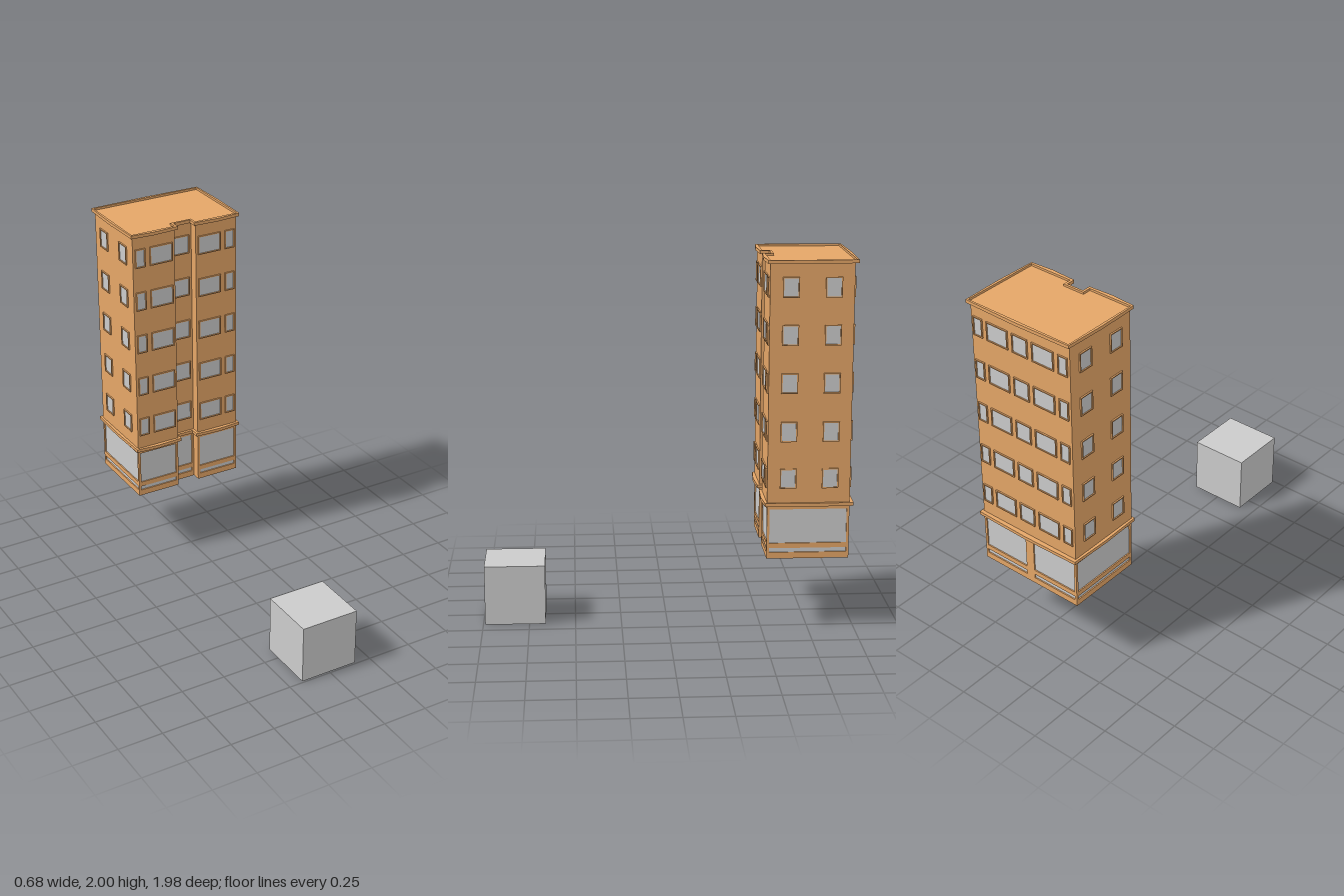
import * as THREE from 'three';

const brick = new THREE.MeshStandardMaterial({ color: 0xe5a667, flatShading: true, side: THREE.DoubleSide });
const grey = new THREE.MeshStandardMaterial({ color: 0xcccccc, flatShading: true, side: THREE.DoubleSide });

// Plan of the walls as [x, z], with the recess in the front
const PLAN = [[-0.32, -0.96], [0.32, -0.96], [0.32, -0.52], [0.065, -0.52],
  [0.065, -0.57], [-0.065, -0.57], [-0.065, -0.52], [-0.32, -0.52]];
// Plan of the cornices: overhanging, with slightly bowed sides
const CORNICE = [[-0.332, -0.98], [0, -0.987], [0.332, -0.98], [0.338, -0.74], [0.332, -0.508], [0.2, -0.498],
  [0.05, -0.506], [0.05, -0.555], [-0.05, -0.555], [-0.05, -0.506], [-0.2, -0.498], [-0.332, -0.508], [-0.338, -0.74]];
const RIM = [[-0.323, -0.97], [0.323, -0.97], [0.323, -0.52], [0.064, -0.52],
  [0.064, -0.568], [-0.064, -0.568], [-0.064, -0.52], [-0.323, -0.52]];

const FLOORS = [0.793, 1.046, 1.305, 1.56, 1.81];
const WINDOW_H = 0.095;
const WALL = 0.014;

function mesh(name, geometry, material, parent) {
  const m = new THREE.Mesh(geometry, material);
  m.name = name;
  parent.add(m);
  return m;
}

const toPoints = (plan) => plan.map(([x, z]) => new THREE.Vector2(x, -z));

// Prism standing on a plan between two heights, optionally hollow
function prism(plan, y0, y1, inner) {
  const shape = new THREE.Shape(toPoints(plan));
  if (inner) shape.holes.push(new THREE.Path(toPoints(inner)));
  return new THREE.ExtrudeGeometry(shape, { depth: y1 - y0, bevelEnabled: false })
    .rotateX(-Math.PI / 2).translate(0, y0, 0);
}

const rect = (Type, u0, u1, v0, v1) => new Type([[u0, v0], [u1, v0], [u1, v1], [u0, v1]]
  .map(([u, v]) => new THREE.Vector2(u, v)));

// Upright plate facing +z with rectangular openings
function plate(u0, u1, v0, v1, openings, depth) {
  const shape = rect(THREE.Shape, u0, u1, v0, v1);
  for (const o of openings) shape.holes.push(rect(THREE.Path, ...o));
  return new THREE.ExtrudeGeometry(shape, { depth, bevelEnabled: false });
}

function pane(name, u0, u1, v0, v1, z, parent) {
  const g = new THREE.PlaneGeometry(u1 - u0, v1 - v0).translate((u0 + u1) / 2, (v0 + v1) / 2, z);
  mesh(name, g, grey, parent);
}

// One side of the building: shop wall with glazing, and framed windows above
function facade({ name, at, turn, span, shop, windows }) {
  const g = new THREE.Group();
  g.name = name;
  const openings = shop.flatMap(([a, b]) => [[a, b, 0.485, 0.672], [a, b, 0.434, 0.458]]);
  mesh('shopWall', plate(...span, 0.4, 0.69, openings, WALL).translate(0, 0, -WALL), brick, g);
  for (const o of openings) pane('shopGlass', ...o, -WALL / 2, g);

  const f = 0.006;
  for (const y of FLOORS) {
    for (const [a, b] of windows) {
      const hole = [a, b, y, y + WINDOW_H];
      mesh('windowFrame', plate(a - f, b + f, y - f, y + WINDOW_H + f, [hole], 0.008), brick, g);
      pane('windowGlass', ...hole, 0.002, g);
    }
  }
  g.position.set(...at);
  g.rotation.y = turn;
  return g;
}

export function createModel() {
  const model = new THREE.Group();
  model.name = 'buildingAndCube';

  const building = new THREE.Group();
  building.name = 'building';
  model.add(building);

  // Upper storeys, string course and roof rim
  mesh('upperStoreys', prism(PLAN, 0.7, 1.983), brick, building);
  mesh('stringCourse', prism(CORNICE, 0.69, 0.708), brick, building);
  mesh('roof', prism(RIM, 1.982, 1.988), brick, building);
  mesh('roofRim', prism(CORNICE, 1.982, 2, RIM), brick, building);

  // Facades
  const Q = Math.PI / 2;
  const wing = [[0.085, 0.212], [0.252, 0.3]];
  const middle = [[-0.044, 0.044]];
  const mirror = (list) => list.map(([a, b]) => [-b, -a]);
  const sideWindows = [[0.592, 0.667], [0.815, 0.89]];
  const sides = [
    { name: 'frontLeftWing', at: [0, 0, -0.52], turn: 0, span: [0.065, 0.32], shop: [[0.074, 0.31]], windows: wing },
    { name: 'frontRightWing', at: [0, 0, -0.52], turn: 0, span: [-0.32, -0.065], shop: [[-0.31, -0.074]], windows: mirror(wing) },
    { name: 'frontRecess', at: [0, 0, -0.57], turn: 0, span: [-0.065, 0.065], shop: [[-0.053, 0.053]], windows: middle },
    { name: 'recessRightCheek', at: [-0.065, 0, 0], turn: Q, span: [0.52, 0.57], shop: [], windows: [] },
    { name: 'recessLeftCheek', at: [0.065, 0, 0], turn: -Q, span: [-0.57, -0.52], shop: [], windows: [] },
    { name: 'leftSide', at: [0.32, 0, 0], turn: Q, span: [0.52, 0.96], shop: [[0.53, 0.95]], windows: sideWindows },
    { name: 'rightSide', at: [-0.32, 0, 0], turn: -Q, span: [-0.96, -0.52], shop: [[-0.95, -0.53]], windows: mirror(sideWindows) },
    { name: 'back', at: [0, 0, -0.96], turn: 2 * Q, span: [-0.32, 0.32], shop: [[-0.31, -0.027], [0.027, 0.31]],
      windows: [...wing, ...mirror(wing), ...middle] },
  ];
  for (const s of sides) building.add(facade(s));

  // Separate cube in front of the building
  const cube = mesh('cube', new THREE.BoxGeometry(0.328, 0.328, 0.328), grey, model);
  cube.position.set(-0.003, 0.164, 0.826);

  return model;
}
